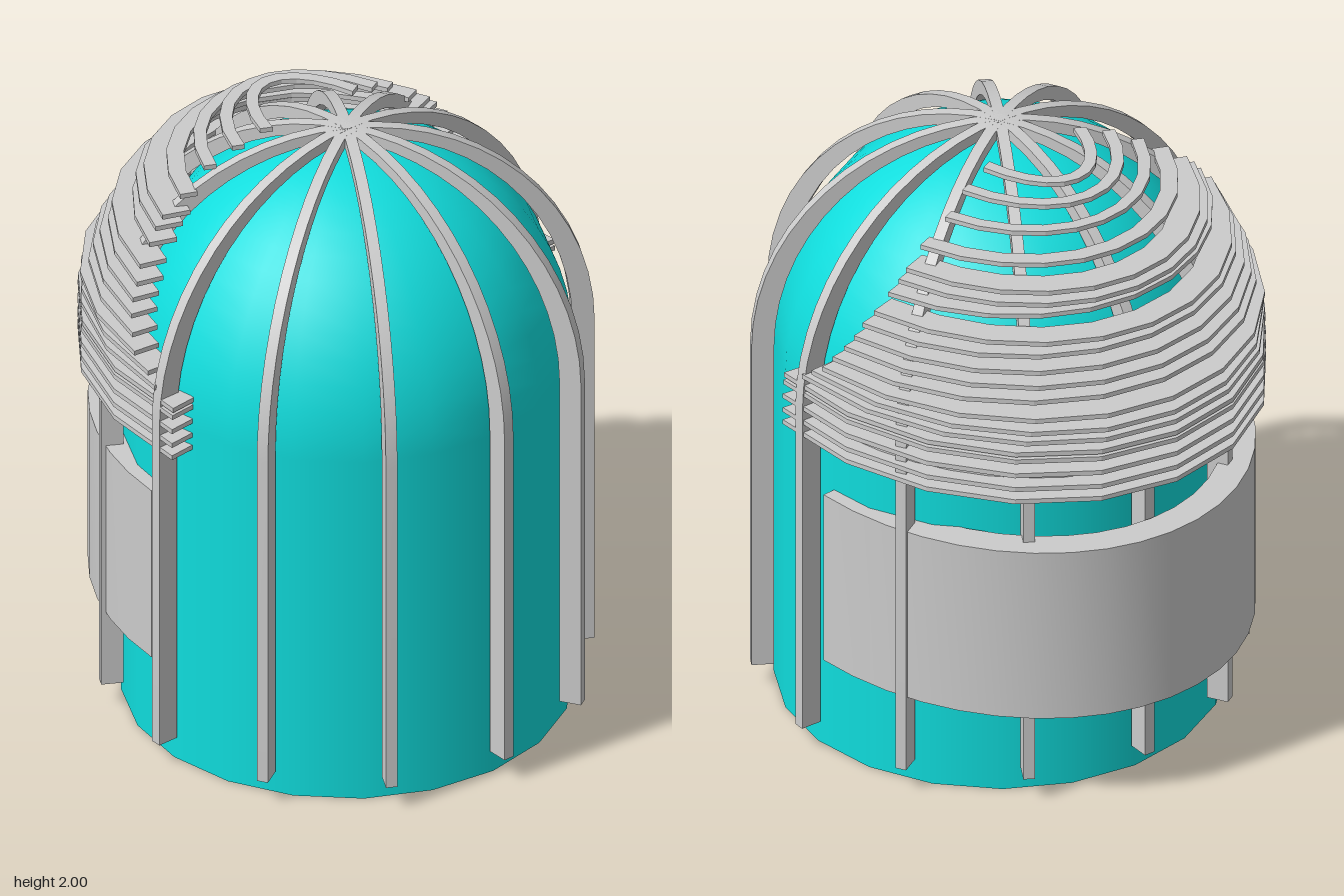
import * as THREE from 'three';
import { toCreasedNormals } from 'three/addons/utils/BufferGeometryUtils.js';

const AXIS_Z = 0.07;      // centre line of the tower
const SPRING_Y = 1.23;    // height where the ribs start to curve
const RIB_R = 0.77;

const grey = new THREE.MeshStandardMaterial({ color: 0xcccccc });
const cyan = new THREE.MeshStandardMaterial({ color: 0x10dddd });

function add(parent, name, geometry, material, y = 0) {
  const mesh = new THREE.Mesh(geometry, material);
  mesh.name = name;
  mesh.position.y = y;
  parent.add(mesh);
  return mesh;
}

// Flat elliptical arc around the back, from zEnd on one side to zEnd on the other
function backArc(a, b, width, height, zEnd, segments) {
  const end = Math.acos((AXIS_Z - zEnd) / b);
  const points = [];
  const trace = (rx, rz, dir) => {
    for (let i = 0; i <= segments; i++) {
      const t = dir * end * (1 - 2 * i / segments);
      points.push(new THREE.Vector2(rx * Math.sin(t), rz * Math.cos(t)));
    }
  };
  trace(a, b, 1);
  trace(a - width, b - width, -1);
  const geometry = new THREE.ExtrudeGeometry(new THREE.Shape(points), { depth: height, bevelEnabled: false });
  return geometry.rotateX(-Math.PI / 2);
}

// Upright rib that bends over to the apex
function ribGeometry() {
  const shape = new THREE.Shape();
  const inner = 0.7, innerH = 0.735, width = 0.036, n = 14;
  shape.moveTo(inner, 0.08);
  shape.lineTo(RIB_R, 0.08);
  for (let i = 0; i <= n; i++) {
    const t = i / n * Math.PI / 2;
    shape.lineTo(RIB_R * Math.cos(t), SPRING_Y + RIB_R * Math.sin(t));
  }
  for (let i = n; i >= 0; i--) {
    const t = i / n * Math.PI / 2;
    shape.lineTo(inner * Math.cos(t), SPRING_Y + innerH * Math.sin(t));
  }
  const geometry = new THREE.ExtrudeGeometry(shape, { depth: width, bevelEnabled: false });
  return toCreasedNormals(geometry.translate(0, 0, -width / 2), 0.5);
}

export function createModel() {
  const model = new THREE.Group();
  model.name = 'domedTower';
  const tower = new THREE.Group();
  tower.name = 'tower';
  tower.position.z = AXIS_Z;
  model.add(tower);

  // Cylindrical body and dome
  const wallH = 1.21;
  add(tower, 'body', new THREE.CylinderGeometry(0.695, 0.695, wallH, 20), cyan, wallH / 2);
  const dome = new THREE.SphereGeometry(0.695, 20, 14, Math.PI / 2, Math.PI * 2, 0, Math.PI / 2);
  add(tower, 'dome', dome.scale(1, 0.74 / 0.695, 1), cyan, wallH);

  // Twelve ribs
  const rib = ribGeometry();
  for (let i = 0; i < 12; i++) {
    add(tower, 'rib', rib, grey).rotation.y = i * Math.PI / 6;
  }

  // Curved panel wrapped around the back
  add(tower, 'backPanel', toCreasedNormals(backArc(0.73, 0.88, 0.1, 0.6, 0, 20), 0.5), grey, 0.34);

  // Narrow fascia behind the lowest slats
  add(tower, 'fascia', toCreasedNormals(backArc(0.73, 0.845, 0.03, 0.09, 0.02, 20), 0.5), grey, 1.14);

  // Sunshade slats: height, rearmost z, z of both ends
  const slats = [
    [1.146, -0.84, 0.15], [1.19, -0.84, 0.15], [1.24, -0.84, 0.15], [1.29, -0.84, 0.15],
    [1.315, -0.84, 0.15], [1.353, -0.835, 0.06], [1.385, -0.83, 0.02], [1.43, -0.82, -0.04],
    [1.475, -0.775, -0.07], [1.52, -0.765, -0.1], [1.56, -0.74, -0.12], [1.602, -0.71, -0.13],
    [1.645, -0.715, -0.15], [1.70, -0.625, -0.16], [1.74, -0.64, -0.17], [1.77, -0.62, -0.17],
    [1.825, -0.54, -0.16], [1.89, -0.465, -0.16], [1.94, -0.4, -0.13], [1.975, -0.335, -0.11],
  ];
  const sunshade = new THREE.Group();
  sunshade.name = 'sunshade';
  tower.add(sunshade);
  for (const [y, zBack, zEnd] of slats) {
    const rise = Math.max(0, y - SPRING_Y);
    const a = Math.sqrt(RIB_R * RIB_R - rise * rise) + (y > 1.4 ? 0.025 : 0.005);
    const width = y > 1.85 ? 0.04 : y > 1.8 ? 0.055 : 0.09;
    add(sunshade, 'slat', backArc(a, AXIS_Z - zBack, width, 0.016, zEnd, 10), grey, y - 0.008);
  }
  return model;
}
